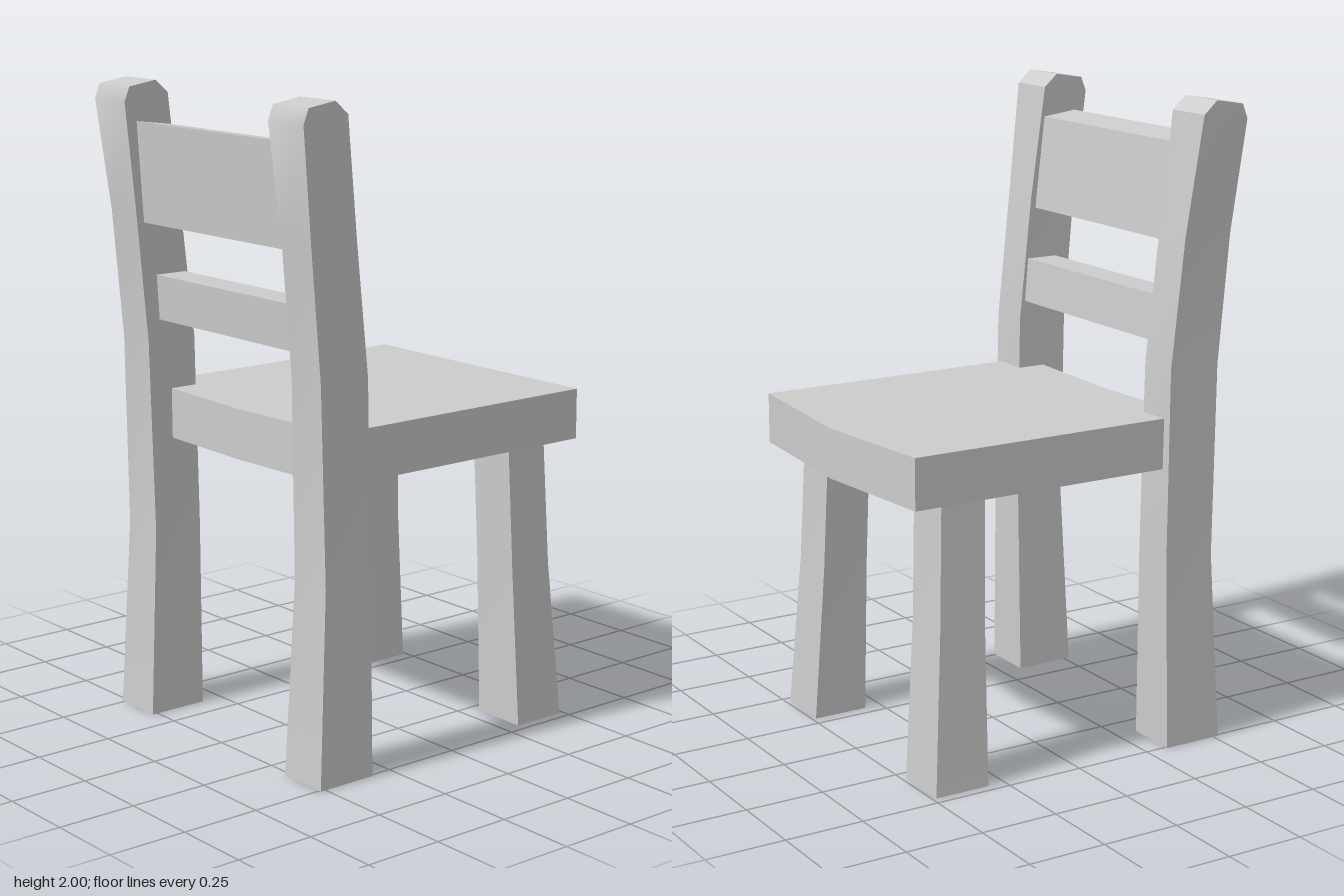
import * as THREE from 'three';
import { toCreasedNormals } from 'three/addons/utils/BufferGeometryUtils.js';

// Skin a row of four-cornered rings (counter-clockwise seen from the end) and cap both ends.
function loft(rings) {
  const pos = [];
  const quad = (a, b, c, d) => pos.push(...a, ...b, ...c, ...a, ...c, ...d);
  for (let k = 0; k < rings.length - 1; k++) {
    const lo = rings[k], hi = rings[k + 1];
    for (let i = 0; i < 4; i++) {
      const j = (i + 1) % 4;
      quad(lo[i], lo[j], hi[j], hi[i]);
    }
  }
  const s = rings[0], e = rings[rings.length - 1];
  quad(s[3], s[2], s[1], s[0]);
  quad(e[0], e[1], e[2], e[3]);
  const g = new THREE.BufferGeometry();
  g.setAttribute('position', new THREE.Float32BufferAttribute(pos, 3));
  return toCreasedNormals(g, 0.6);
}

// Upright: each section is [inner x, outer x, z near seat, its y, z at rear, its y].
function upright(side, sections) {
  return loft(sections.map(([xi, xo, z0, y0, z1, y1]) => {
    const [a, b] = [side * xi, side * xo].sort((p, q) => p - q);
    return [[a, y1, z1], [b, y1, z1], [b, y0, z0], [a, y0, z0]];
  }));
}

// Crosspiece: each section is an x and the corners [z, y] in the order
// low rear, low front, high front, high rear.
function crosspiece(sections) {
  return loft(sections.map(([x, corners]) => corners.map(([z, y]) => [x, y, z])));
}

export function createModel() {
  const model = new THREE.Group();
  model.name = 'chair';
  const grey = new THREE.MeshStandardMaterial({ color: 0xcccccc });
  grey.name = 'plain grey';
  const add = (name, geometry) => {
    const mesh = new THREE.Mesh(geometry, grey);
    mesh.name = name;
    model.add(mesh);
  };

  // Curved back posts with rounded tops, and shorter splayed legs under the seat
  const post = [
    [0.34, 0.508, 0.322, 0, 0.518, 0],
    [0.35, 0.493, 0.317, 0.6, 0.486, 0.6],
    [0.355, 0.488, 0.325, 1.2, 0.498, 1.2],
    [0.357, 0.49, 0.368, 1.6, 0.533, 1.6],
    [0.35, 0.508, 0.415, 1.96, 0.573, 1.94],
    [0.35, 0.508, 0.46, 2, 0.555, 1.985],
  ];
  const leg = [
    [0.29, 0.47, -0.487, 0, -0.307, 0],
    [0.28, 0.44, -0.453, 0.5, -0.3, 0.5],
    [0.268, 0.425, -0.438, 0.9, -0.29, 0.9],
  ];
  for (const [side, label] of [[1, 'left'], [-1, 'right']]) {
    add(label + 'BackPost', upright(side, post));
    add(label + 'FrontLeg', upright(side, leg));
  }

  // Seat with a slight dip and a pointed front edge
  const seatEnd = [[0.415, 0.887], [-0.545, 0.887], [-0.545, 1.045], [0.415, 1.045]];
  const seatMiddle = [[0.415, 0.88], [-0.573, 0.88], [-0.573, 1.036], [0.415, 1.036]];
  add('seat', crosspiece([[-0.46, seatEnd], [0, seatMiddle], [0.46, seatEnd]]));

  // Backrest rails between the posts
  const lowRail = [[0.455, 1.265], [0.345, 1.265], [0.357, 1.405], [0.463, 1.405]];
  const topRail = [[0.505, 1.57], [0.385, 1.57], [0.415, 1.865], [0.53, 1.88]];
  add('lowerRail', crosspiece([[-0.38, lowRail], [0.38, lowRail]]));
  add('topRail', crosspiece([[-0.38, topRail], [0.38, topRail]]));

  return model;
}
